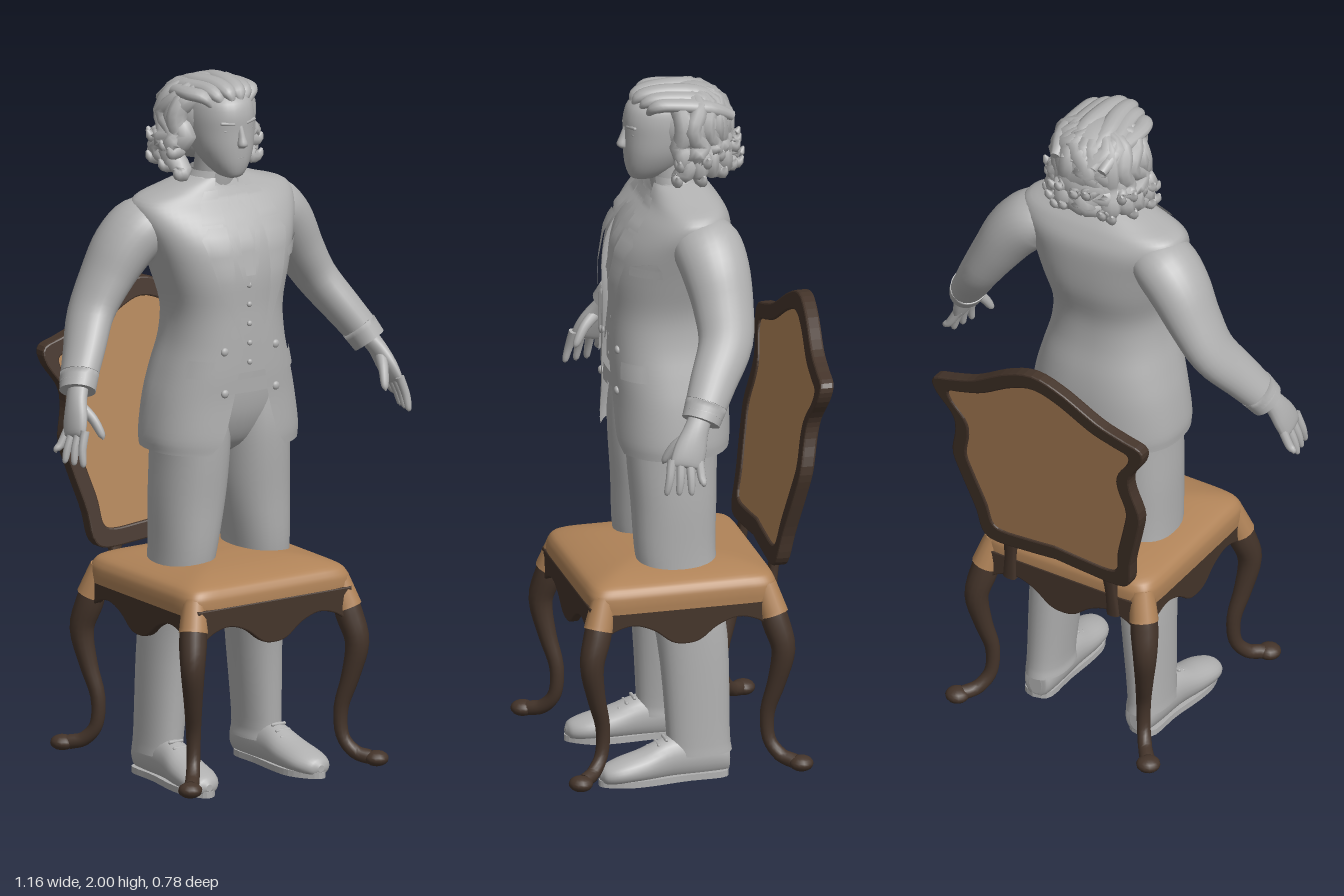
import * as THREE from 'three';

const mat = (name, color, side = THREE.FrontSide) => {
  const m = new THREE.MeshStandardMaterial({ color, side });
  m.name = name;
  return m;
};
const V = (x, y, z) => new THREE.Vector3(x, y, z);
const Y = V(0, 1, 0), Z = V(0, 0, 1);

// Sweeps a superellipse along points [x, y, z, ra, rb, gap]; gap is the half width of a slit at the front.
function sweep(pts, { ref = Z, axis = null, n = 24, sub = 4, p = 2, cap = true } = {}) {
  const path = new THREE.CatmullRomCurve3(pts.map(q => V(q[0], q[1], q[2])), false, 'catmullrom', 0.5);
  const size = new THREE.CatmullRomCurve3(pts.map(q => V(q[3], q[4], q[5] || 0)), false, 'catmullrom', 0.5);
  const open = pts.some(q => q[5]);
  const rows = (pts.length - 1) * sub, cols = open ? n + 1 : n, pos = [], idx = [];
  const bend = c => Math.sign(c) * Math.abs(c) ** (2 / p);
  for (let i = 0; i <= rows; i++) {
    const c = path.getPoint(i / rows), r = size.getPoint(i / rows);
    const T = axis || path.getTangent(i / rows);
    const u = T.clone().cross(ref).normalize(), v = u.clone().cross(T).normalize();
    const g = open ? Math.asin(Math.min(1, (r.z / r.x) ** (p / 2))) : 0;
    for (let j = 0; j < cols; j++) {
      const a = Math.PI / 2 + g + (j / n) * (Math.PI * 2 - 2 * g);
      const q = c.clone().addScaledVector(u, r.x * bend(Math.cos(a))).addScaledVector(v, r.y * bend(Math.sin(a)));
      pos.push(q.x, q.y, q.z);
    }
  }
  for (let i = 0; i < rows; i++) for (let j = 0; j < n; j++) {
    const a = i * cols + j, b = i * cols + (j + 1) % cols;
    idx.push(a, a + cols, b, b, a + cols, b + cols);
  }
  if (cap && !open) for (const i of [0, rows]) {
    const base = pos.length / 3, c = path.getPoint(i / rows);
    pos.push(...pos.slice(i * cols * 3, (i + 1) * cols * 3), c.x, c.y, c.z);
    for (let j = 0; j < n; j++) {
      const a = base + j, b = base + (j + 1) % n;
      idx.push(base + n, ...(i ? [b, a] : [a, b]));
    }
  }
  const geo = new THREE.BufferGeometry();
  geo.setAttribute('position', new THREE.Float32BufferAttribute(pos, 3));
  geo.setIndex(idx);
  geo.computeVertexNormals();
  return geo;
}
// Upright body from sections [y, cx, cz, rx, rz, gap]
const body = (secs, opt = {}) => sweep(secs.map(([y, x, z, a, b, g]) => [x, y, z, a, b, g]), { axis: Y, ...opt });

const JACKET = [
  [0.955, 0, 0.03, 0.228, 0.168, 0.125], [1.0, 0, 0.03, 0.23, 0.17, 0.09], [1.1, 0, 0.03, 0.215, 0.168, 0.06],
  [1.18, 0, 0.036, 0.195, 0.165, 0.045], [1.27, 0, 0.045, 0.172, 0.156, 0.03], [1.36, 0, 0.045, 0.168, 0.154, 0.05],
  [1.46, 0, 0.033, 0.195, 0.166, 0.065], [1.55, 0, 0.02, 0.225, 0.16, 0.065], [1.62, 0, 0.0, 0.25, 0.137, 0.06],
  [1.665, 0, -0.01, 0.24, 0.106, 0.05], [1.692, 0, -0.005, 0.165, 0.088, 0.045], [1.718, 0, 0.005, 0.085, 0.068, 0.035]];
const P = 2.4;
// Depth of the jacket front at (x, y)
function frontZ(x, y) {
  let i = 0;
  while (i < JACKET.length - 2 && JACKET[i + 1][0] < y) i++;
  const A = JACKET[i], B = JACKET[i + 1], t = THREE.MathUtils.clamp((y - A[0]) / (B[0] - A[0]), 0, 1);
  const [, , c, rx, rz] = A.map((a, k) => a + (B[k] - a) * t);
  return c + rz * Math.max(0, 1 - Math.abs(x / rx) ** P) ** (1 / P);
}
// Cloth strip laid on the torso front from rows [y, xa, xb]
function strip(rows, off, s = 1) {
  const R = (rows.length - 1) * 6, C = 6, geo = new THREE.PlaneGeometry(1, 1, C, R), pos = geo.attributes.position;
  for (let i = 0; i <= R; i++) for (let j = 0; j <= C; j++) {
    const k = Math.min(rows.length - 2, Math.floor(i / 6)), t = i / 6 - k;
    const [y, a, b] = rows[k].map((q, m) => q + (rows[k + 1][m] - q) * t);
    // mirrored strips run the other way so that they still face forwards
    const x = s > 0 ? a + (b - a) * j / C : -b + (b - a) * j / C;
    pos.setXYZ(i * (C + 1) + j, x, y, frontZ(x, y) + off);
  }
  geo.computeVertexNormals();
  return geo;
}

export function createModel() {
  const grey = mat('figure grey', 0xb0b0b0, THREE.DoubleSide);
  const tan = mat('tan upholstery', 0xb08358);
  const wood = mat('dark wood', 0x44342a);
  const model = new THREE.Group();
  const man = new THREE.Group(), chair = new THREE.Group();
  man.name = 'standingFigure'; chair.name = 'chair';
  model.add(man, chair);
  const add = (parent, name, geo, m) => {
    const mesh = new THREE.Mesh(geo, m);
    mesh.name = name;
    parent.add(mesh);
  };
  const put = (name, geo) => add(man, name, geo, grey);
  const ball = (name, x, y, z, a, b, c) => put(name, new THREE.SphereGeometry(1, 16, 12).scale(a, b, c).translate(x, y, z));

  // Jacket, waistcoat, shirt front and tie
  put('jacket', body(JACKET, { n: 56, p: P }));
  put('waistcoat', body(JACKET.slice(3).map(([y, x, z, a, b]) => [y, x, z, a * 0.94, b - 0.016]), { n: 40, p: P }));
  put('tie', strip([[1.655, -0.011, 0.011], [1.54, -0.024, 0.024], [1.46, -0.016, 0.016]], -0.003));
  put('tieKnot', strip([[1.695, -0.02, 0.02], [1.65, -0.012, 0.012]], 0.006));
  put('belt', strip([[1.165, -0.06, 0.06], [1.125, -0.06, 0.06]], -0.006));
  put('beltBuckle', strip([[1.163, -0.022, 0.022], [1.127, -0.022, 0.022]], 0.002));
  put('collar', body([[1.66, 0, -0.005, 0.12, 0.085, 0.05], [1.7, 0, 0, 0.085, 0.074, 0.04], [1.735, 0, 0.005, 0.068, 0.066, 0.03]], { n: 32 }));
  for (let i = 0; i < 5; i++) {
    const y = 1.21 + i * 0.055;
    ball('waistcoatButton', 0, y, frontZ(0, y) - 0.013, 0.008, 0.008, 0.006);
  }

  for (const s of [1, -1]) {
    const side = s > 0 ? 'left' : 'right';
    put(side + 'Lapel', strip([[1.6, 0.06, 0.115], [1.572, 0.062, 0.14], [1.42, 0.058, 0.1], [1.27, 0.03, 0.036]], 0.012, s));
    put(side + 'JacketCollar', strip([[1.69, 0.045, 0.085], [1.66, 0.05, 0.11], [1.608, 0.06, 0.13]], 0.012, s));
    put(side + 'ShirtCollar', strip([[1.7, 0.018, 0.05], [1.66, 0.016, 0.055], [1.635, 0.036, 0.044]], 0.006, s));
    put(side + 'WaistcoatEdge', strip([[1.6, 0.045, 0.062], [1.43, 0, 0.018]], -0.008, s));
    put(side + 'PocketFlap', strip([[1.225, 0.115, 0.172], [1.175, 0.118, 0.182]], 0.01, s));
    for (const y of [1.25, 1.13]) ball('jacketButton', s * 0.085, y, frontZ(0.085, y), 0.012, 0.012, 0.008);

    // Sleeve, cuff and hand
    const arm = a => a.map(q => [s * q[0], ...q.slice(1)]);
    put(side + 'Sleeve', sweep(arm([[0.15, 1.6, -0.02, 0.055, 0.08], [0.21, 1.585, -0.033, 0.082, 0.098], [0.268, 1.53, -0.045, 0.082, 0.096],
      [0.322, 1.445, -0.052, 0.069, 0.086], [0.376, 1.355, -0.045, 0.058, 0.077], [0.433, 1.265, 0.005, 0.052, 0.066],
      [0.485, 1.185, 0.05, 0.047, 0.056]]), { n: 28 }));
    put(side + 'SleeveCuff', sweep(arm([[0.468, 1.212, 0.035, 0.051, 0.06], [0.49, 1.17, 0.057, 0.048, 0.055]]), { n: 28 }));
    put(side + 'Palm', sweep(arm([[0.485, 1.185, 0.055, 0.026, 0.032], [0.505, 1.15, 0.075, 0.024, 0.036], [0.522, 1.105, 0.095, 0.022, 0.046],
      [0.535, 1.065, 0.11, 0.016, 0.047], [0.538, 1.055, 0.113, 0.004, 0.04]]), { n: 16 }));
    for (let f = 0; f < 4; f++) {
      const z = 0.073 + f * 0.026, zt = 0.07 + f * 0.033, xt = 0.57 - f * 0.008, yt = 0.982 + (f === 0 ? 0.025 : 0);
      put(side + 'Finger', sweep(arm([[0.528, 1.08, z, 0.013, 0.013], [(0.54 + xt) / 2, 1.03, (z + zt) / 2, 0.012, 0.012],
        [xt, yt + 0.01, zt, 0.009, 0.009], [xt, yt, zt, 0.002, 0.002]]), { n: 10 }));
    }
    put(side + 'Thumb', sweep(arm([[0.505, 1.14, 0.09, 0.015, 0.018], [0.488, 1.105, 0.13, 0.014, 0.015],
      [0.476, 1.065, 0.155, 0.011, 0.011], [0.474, 1.05, 0.162, 0.002, 0.002]]), { n: 10 }));

    // Trouser leg and shoe
    put(side + 'TrouserLeg', body([[0.07, s * 0.165, -0.024, 0.058, 0.094], [0.13, s * 0.164, -0.022, 0.056, 0.09], [0.4, s * 0.146, -0.01, 0.069, 0.1],
      [0.62, s * 0.126, 0.03, 0.08, 0.112], [0.8, s * 0.109, 0.034, 0.097, 0.12], [0.93, s * 0.101, 0.037, 0.1, 0.127],
      [1.02, s * 0.098, 0.036, 0.1, 0.13], [1.12, s * 0.09, 0.036, 0.09, 0.12]], { n: 28, p: 2.2 }));
    const shoe = sweep([[0.165, 0.045, -0.108, 0.02, 0.03], [0.165, 0.055, -0.098, 0.04, 0.055], [0.167, 0.062, -0.03, 0.047, 0.068],
      [0.17, 0.06, 0.06, 0.049, 0.064], [0.177, 0.045, 0.14, 0.057, 0.047], [0.183, 0.036, 0.21, 0.056, 0.036],
      [0.187, 0.03, 0.252, 0.037, 0.026], [0.188, 0.028, 0.266, 0.01, 0.01]].map(q => [s * q[0], ...q.slice(1)]), { ref: Y, axis: Z, n: 24 });
    const sp = shoe.attributes.position;
    for (let i = 0; i < sp.count; i++) sp.setY(i, Math.max(0.012, sp.getY(i)));
    put(side + 'Shoe', shoe);
    const sole = new THREE.Shape(new THREE.SplineCurve([[0, -0.108], [0.038, -0.085], [0.042, 0.02], [0.057, 0.13], [0.056, 0.2], [0.03, 0.262],
      [-0.004, 0.262], [-0.045, 0.2], [-0.052, 0.13], [-0.046, 0.02], [-0.044, -0.085], [0, -0.108]].map(q => new THREE.Vector2(s * q[0], q[1]))).getPoints(40));
    put(side + 'ShoeSole', new THREE.ExtrudeGeometry(sole, { depth: 0.018, bevelEnabled: false }).rotateX(Math.PI / 2).translate(s * 0.174, 0.018, 0));
    for (let i = 0; i < 3; i++) put('shoeLace', new THREE.CapsuleGeometry(0.005, 0.04, 3, 8).rotateZ(Math.PI / 2)
      .translate(s * 0.172, 0.118 - i * 0.013, 0.076 + i * 0.022));
  }
  put('breastPocket', strip([[1.535, 0.195, 0.205], [1.515, 0.14, 0.205], [1.49, 0.14, 0.2]], 0.009));
  put('trouserHips', body([[0.925, 0, 0.03, 0.04, 0.04], [0.965, 0, 0.034, 0.13, 0.09], [1.03, 0, 0.036, 0.18, 0.122], [1.1, 0, 0.036, 0.19, 0.138], [1.2, 0, 0.036, 0.17, 0.145]], { n: 32 }));

  // Neck, head and face
  put('neck', body([[1.66, 0, -0.005, 0.066, 0.066], [1.72, 0, 0.01, 0.058, 0.062], [1.8, 0, 0.02, 0.055, 0.06]]));
  put('head', body([[1.722, 0, 0.095, 0.012, 0.015], [1.732, 0, 0.085, 0.034, 0.046], [1.765, 0, 0.065, 0.06, 0.078], [1.81, 0, 0.047, 0.08, 0.1],
    [1.86, 0, 0.032, 0.088, 0.115], [1.91, 0, 0.024, 0.088, 0.122], [1.95, 0, 0.02, 0.075, 0.107], [1.985, 0, 0.015, 0.03, 0.05]], { n: 32, p: 2.2 }));
  put('nose', sweep([[0, 1.88, 0.136, 0.008, 0.012], [0, 1.85, 0.147, 0.01, 0.013], [0, 1.827, 0.153, 0.015, 0.015], [0, 1.816, 0.148, 0.009, 0.008]],
    { axis: Y, n: 14 }));
  ball('upperLip', 0, 1.787, 0.134, 0.024, 0.006, 0.012);
  ball('lowerLip', 0, 1.776, 0.131, 0.02, 0.007, 0.012);
  ball('chin', 0, 1.744, 0.11, 0.024, 0.017, 0.022);
  for (const s of [1, -1]) {
    ball('eye', s * 0.036, 1.866, 0.126, 0.015, 0.008, 0.011);
    put('eyebrow', new THREE.CapsuleGeometry(0.005, 0.034, 4, 8).rotateZ(Math.PI / 2 + s * 0.1).rotateY(s * 0.35).translate(s * 0.038, 1.887, 0.136));
    ball('ear', s * 0.09, 1.85, 0.01, 0.012, 0.03, 0.02);
  }

  // Wavy hair: a cap with thick locks falling around it
  let seed = 7;
  const rnd = () => (seed = (seed * 16807) % 2147483647) / 2147483647;
  ball('hairCap', 0, 1.885, -0.035, 0.115, 0.108, 0.125);
  ball('hairBack', 0, 1.83, -0.075, 0.115, 0.085, 0.095);
  for (let layer = 0; layer < 2; layer++) for (let i = 0; i < 11; i++) {
    const a = THREE.MathUtils.degToRad(76 + i * 208 / 10 + (layer ? 8 * (rnd() - 0.5) : 0)), sx = Math.sin(a), cz = Math.cos(a);
    const k = 0.95 + rnd() * 0.1, end = 1.728 + rnd() * 0.025 + Math.max(0, -cz) * 0.035 + layer * 0.06;
    const at = (r, y, w, t) => [sx * r * k + cz * w, y, -0.022 + cz * r * k - sx * w, t, t * 0.8];
    const w = (rnd() - 0.5) * 0.07;
    put('hairLock', sweep([at(0.03, 1.975, 0, 0.016), at(0.09, 1.945, w, 0.03), at(0.115, 1.89, -w, 0.034), at(0.112, 1.84, w, 0.031),
      at(0.13, 1.79 + layer * 0.02, -w, 0.036), at(0.126, end + 0.005, w, 0.026), at(0.152, end, w, 0.017), at(0.164, end + 0.018, w, 0.004)], { n: 10, sub: 3 }));
  }
  for (const s of [1, -1]) for (let i = 0; i < 3; i++) {
    const x = 0.016 + i * 0.03, w = (rnd() - 0.5) * 0.02;
    put('sweptFringe', sweep([[s * x * 0.8, 1.945 - i * 0.007, 0.122 - i * 0.014, 0.008, 0.008], [s * x, 1.97 - i * 0.007, 0.102 - i * 0.014, 0.024, 0.018],
      [s * (x + 0.01) + w, 1.982 - i * 0.011, 0.03, 0.028, 0.018], [s * (x + 0.012) - w, 1.965 - i * 0.01, -0.07, 0.028, 0.022],
      [s * x, 1.91, -0.145, 0.014, 0.014]], { ref: Y, n: 12 }));
  }

  // Seat cushion and scalloped aprons
  add(chair, 'seatCushion', body([[0.535, 0, 0.04, 0.277, 0.272], [0.565, 0, 0.04, 0.278, 0.272], [0.59, 0, 0.04, 0.273, 0.267], [0.612, 0, 0.04, 0.25, 0.245],
    [0.634, 0, 0.04, 0.17, 0.165], [0.645, 0, 0.04, 0.06, 0.06], [0.646, 0, 0.04, 0.002, 0.002]], { n: 64, p: 11 }), tan);
  const scallop = [[-0.255, 0.45], [-0.21, 0.485], [-0.15, 0.5], [-0.09, 0.48], [-0.04, 0.443], [0, 0.435],
    [0.04, 0.443], [0.09, 0.48], [0.15, 0.5], [0.21, 0.485], [0.255, 0.45]].map(q => new THREE.Vector2(...q));
  const apron = new THREE.Shape([new THREE.Vector2(-0.255, 0.55), ...new THREE.SplineCurve(scallop).getPoints(40), new THREE.Vector2(0.255, 0.55)]);
  for (let i = 0; i < 4; i++) {
    const geo = new THREE.ExtrudeGeometry(apron, { depth: 0.018, bevelEnabled: true, bevelSize: 0.004, bevelThickness: 0.004, bevelSegments: 2 });
    add(chair, 'apron', geo.translate(0, 0, 0.252).rotateY(i * Math.PI / 2).translate(0, 0, 0.04), wood);
  }
  add(chair, 'seatBase', new THREE.BoxGeometry(0.51, 0.02, 0.51).translate(0, 0.528, 0.04), wood);

  // Cabriole legs, with upholstery over the knees
  for (const s of [1, -1]) for (const f of [1, -1]) {
    const place = q => [s * q[0], q[1], 0.0375 + f * (q[2] - 0.0375), q[3], q[3]];
    const name = (f > 0 ? 'front' : 'back') + (s > 0 ? 'Left' : 'Right');
    add(chair, name + 'Leg', sweep([[0.245, 0.55, 0.275, 0.034], [0.262, 0.47, 0.294, 0.039], [0.276, 0.39, 0.313, 0.034], [0.264, 0.29, 0.297, 0.026],
      [0.248, 0.2, 0.275, 0.021], [0.25, 0.12, 0.278, 0.019], [0.272, 0.075, 0.306, 0.02], [0.3, 0.062, 0.34, 0.021]].map(place), { n: 14 }), wood);
    add(chair, name + 'Foot', new THREE.SphereGeometry(1, 14, 10).scale(0.034, 0.022, 0.034).translate(...place([0.313, 0.06, 0.355, 0]).slice(0, 3)), wood);
    add(chair, name + 'KneeCover', sweep([[0.238, 0.575, 0.268, 0.034], [0.249, 0.53, 0.28, 0.038], [0.259, 0.49, 0.291, 0.041]].map(place), { n: 14 }), tan);
  }

  // Shield-shaped backrest leaning backwards
  const half = [[0.1, 0.62], [0.2, 0.615], [0.237, 0.64], [0.25, 0.72], [0.285, 0.84], [0.302, 0.92], [0.283, 1.01], [0.287, 1.07],
    [0.332, 1.14], [0.336, 1.185], [0.28, 1.205], [0.2, 1.235], [0.09, 1.305]];
  const ring = [[0, 0.63], ...half, [0, 1.335], ...half.slice().reverse().map(([x, y]) => [-x, y]), [0, 0.63]];
  const outline = k => new THREE.SplineCurve(ring.map(([x, y]) => new THREE.Vector2(x * k, 0.97 + (y - 0.97) * (k - 0.01)))).getPoints(100);
  const lean = geo => {
    const p = geo.attributes.position;
    for (let i = 0; i < p.count; i++) p.setZ(i, p.getZ(i) - 0.238 - 0.187 * (p.getY(i) - 0.6));
    geo.computeVertexNormals();
    return geo;
  };
  const frame = new THREE.Shape(outline(1.0));
  frame.holes.push(new THREE.Path(outline(0.88)));
  add(chair, 'backrestFrame', lean(new THREE.ExtrudeGeometry(frame, { depth: 0.028, bevelSize: 0.005, bevelThickness: 0.006, bevelSegments: 2 }).translate(0, 0, -0.014)), wood);
  add(chair, 'backrestPanel', lean(new THREE.ExtrudeGeometry(new THREE.Shape(outline(0.89)), { depth: 0.028, bevelEnabled: false }).translate(0, 0, -0.014)), tan);
  for (const s of [1, -1]) add(chair, 'backrestPost', sweep([[s * 0.17, 0.49, -0.228, 0.021, 0.016], [s * 0.165, 0.57, -0.236, 0.017, 0.014],
    [s * 0.16, 0.65, -0.247, 0.022, 0.014]], { n: 12, p: 3 }), wood);
  return model;
}
